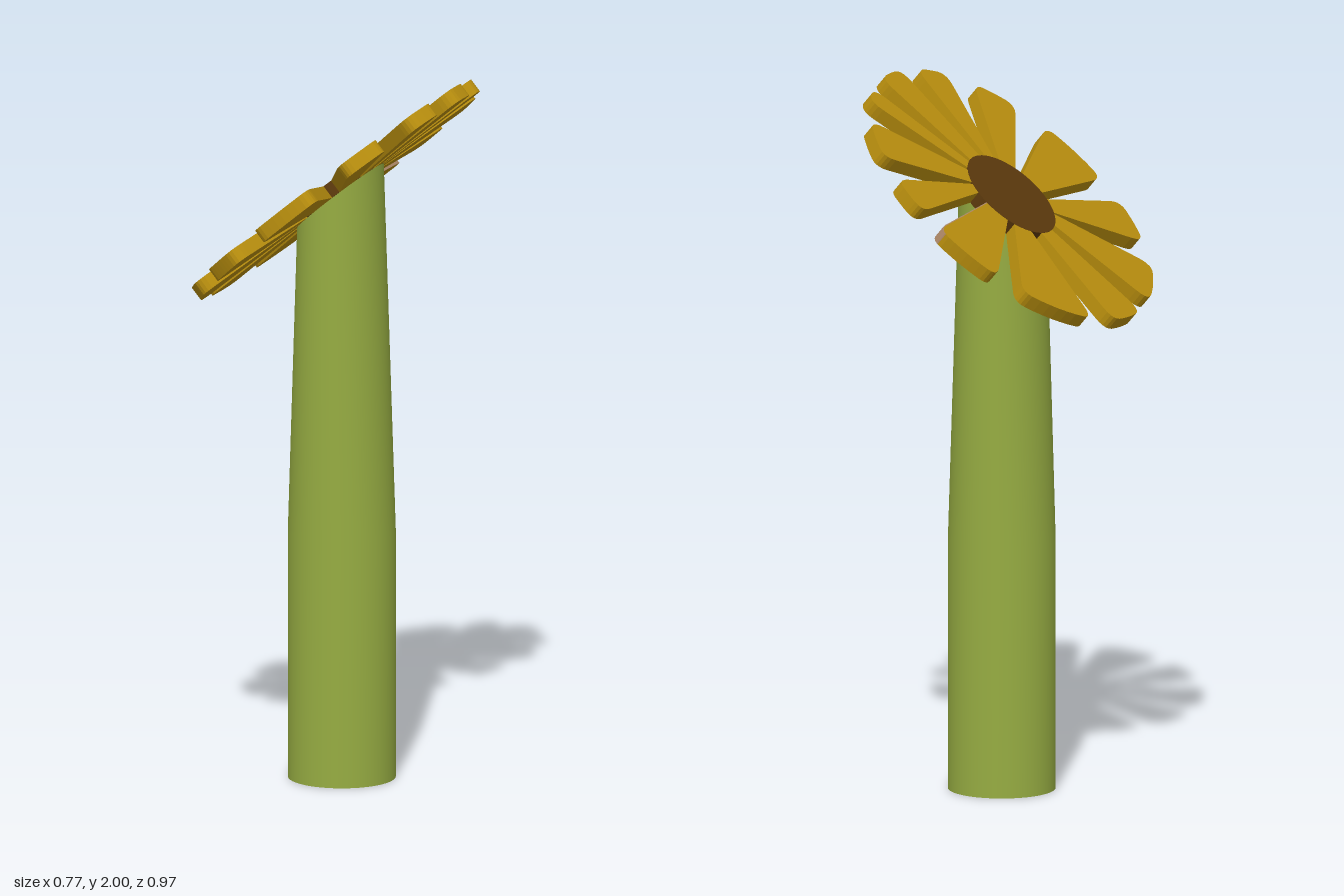
import * as THREE from 'three';

const TILT = THREE.MathUtils.degToRad(40);
const STEM_R = 0.15, PETAL_R = 0.484, THICK = 0.04;
const HEAD = new THREE.Vector3(0.011, 1.655, 0);

const mat = (name, color) => {
  const m = new THREE.MeshStandardMaterial({ color });
  m.name = name;
  return m;
};

// Point on the flower plane; angles in degrees run from +x towards +z
const polar = (r, deg) => {
  const a = THREE.MathUtils.degToRad(deg);
  return new THREE.Vector2(r * Math.cos(a), -r * Math.sin(a));
};

// Wedge with an arched tip and rounded corners: inner and outer edge angles
function petalOutline(in0, out0, in1, out1) {
  const corner = (a, inner, dir) => {
    const tip = polar(PETAL_R, a);
    const side = tip.clone().lerp(polar(0.14, inner), 0.13);
    return new THREE.QuadraticBezierCurve(side, tip, polar(PETAL_R, a + dir * 4)).getPoints(5);
  };
  const arc = [];
  for (let i = 1; i < 6; i++) arc.push(polar(PETAL_R, out0 + 4 + (out1 - out0 - 8) * i / 6));
  return [polar(0.14, in0), ...corner(out0, in0, 1), ...arc,
    ...corner(out1, in1, -1).reverse(), polar(0.14, in1)];
}

// Flat slab lying on the flower plane
function slab(points, material, name) {
  const geo = new THREE.ExtrudeGeometry(new THREE.Shape(points), { depth: THICK, bevelEnabled: false });
  geo.rotateX(-Math.PI / 2);
  const mesh = new THREE.Mesh(geo, material);
  mesh.name = name;
  return mesh;
}

// Round stem whose upper end is lofted to a tilted circle
function stemGeometry() {
  const geo = new THREE.CylinderGeometry(STEM_R, STEM_R, 1, 64, 2);
  const p = geo.attributes.position;
  for (let i = 0; i < p.count; i++) {
    const x = p.getX(i), y = p.getY(i);
    if (y > 0.25) {
      p.setXY(i, HEAD.x + x * Math.cos(TILT), HEAD.y + x * Math.sin(TILT));
    } else {
      p.setXY(i, x + 0.015, y < -0.25 ? 0 : 0.7);
    }
  }
  geo.computeVertexNormals();
  return geo;
}

export function createModel() {
  const green = mat('stem green', 0x96ac42);
  const yellow = mat('petal yellow', 0xb88e0e);
  const brown = mat('centre brown', 0x5a380c);
  const tan = mat('petal edge tan', 0xb08a68);

  const model = new THREE.Group();
  model.name = 'flower';

  const stem = new THREE.Mesh(stemGeometry(), green);
  stem.name = 'stem';
  model.add(stem);

  const head = new THREE.Group();
  head.name = 'flowerHead';
  head.position.copy(HEAD);
  head.rotation.z = TILT;
  model.add(head);

  const centre = new THREE.Mesh(new THREE.CylinderGeometry(STEM_R, STEM_R, THICK, 64), brown);
  centre.name = 'flowerCentre';
  centre.position.y = THICK / 2 + 0.0005;
  head.add(centre);

  // Uneven petals: inner start, outer start, inner end, outer end
  const petals = [
    [-12, -7.7, 12, 7.2], [22, 16.5, 35, 31], [42, 43, 64, 60],
    [73.5, 72.5, 103, 97.6], [112.6, 108, 134, 127], [135, 139, 158, 162.5],
    [171, 173, 195, 192.5], [212, 203.6, 234.5, 233.9], [243, 244, 272, 268.6],
    [288, 277, 301, 291.7], [303, 302, 324.5, 320.6], [328, 332.7, 343, 342],
  ];
  petals.forEach((angles, i) => {
    const outline = petalOutline(...angles);
    head.add(slab(outline, yellow, `petal${i + 1}`));
    // One petal has a differently coloured side
    if (i === 8) {
      const edge = outline.slice(-6);
      const outer = edge.map((v) => new THREE.Vector2(v.x + 0.003, v.y)).reverse();
      head.add(slab([...edge, ...outer], tan, 'petalEdge'));
    }
  });

  return model;
}
